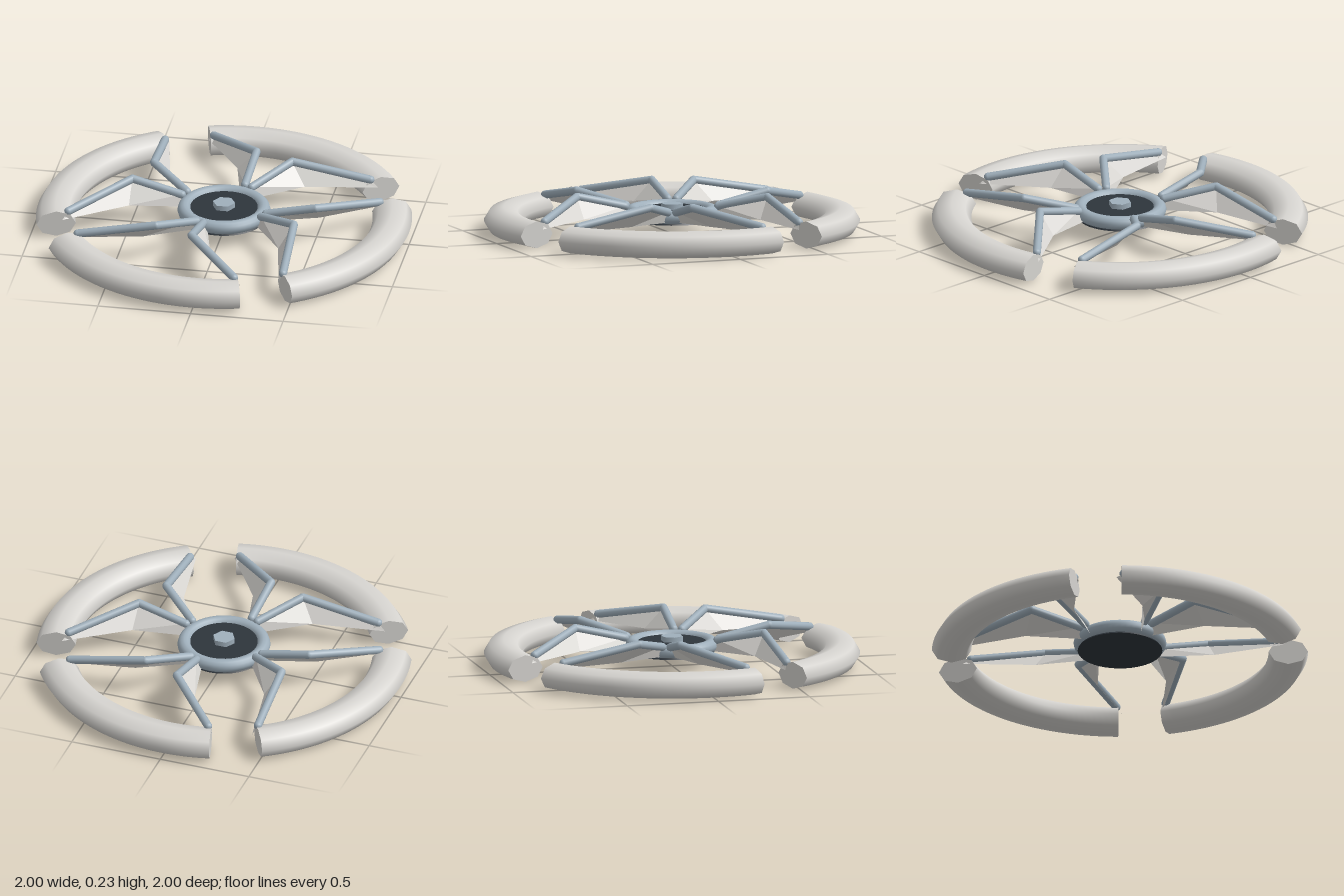
import * as THREE from 'three';

const shell = new THREE.MeshStandardMaterial({ color: 0xd6d4d0, side: THREE.DoubleSide });
shell.name = 'pale grey shell';
const metal = new THREE.MeshStandardMaterial({ color: 0x9fafbb });
metal.name = 'blue grey metal';
const dark = new THREE.MeshStandardMaterial({ color: 0x2e353c });
dark.name = 'dark slate';

const V = (x, y, z) => new THREE.Vector3(x, y, z);
const RAD = Math.PI / 180;

function add(parent, name, geometry, material) {
  const mesh = new THREE.Mesh(geometry, material);
  mesh.name = name;
  parent.add(mesh);
  return mesh;
}

// Octagonal arc of the outer rim, closed at both ends
function rimSegment(from, to) {
  const group = new THREE.Group();
  group.name = 'rimSegment';
  const profile = [];
  for (let i = 0; i <= 8; i++) {
    const a = (i / 4 - 0.5) * Math.PI;
    profile.push(new THREE.Vector2(0.895 + 0.105 * Math.cos(a), 0.0725 + 0.0725 * Math.sin(a)));
  }
  add(group, 'rimTube', new THREE.LatheGeometry(profile, 32, from, to - from), shell);
  for (const angle of [from, to]) {
    const cap = new THREE.ShapeGeometry(new THREE.Shape(profile.slice(0, 8)));
    add(group, 'rimEnd', cap.rotateY(angle - Math.PI / 2), shell);
  }
  return group;
}

// Bent round bar with rounded joints
function spoke(points, radius) {
  const group = new THREE.Group();
  group.name = 'spoke';
  points.forEach((p, i) => {
    add(group, 'spokeJoint', new THREE.SphereGeometry(radius, 12, 8), metal).position.copy(p);
    if (i === 0) return;
    const dir = p.clone().sub(points[i - 1]);
    const bar = add(group, 'spokeBar', new THREE.CylinderGeometry(radius, radius, dir.length(), 12, 1, true), metal);
    bar.position.copy(p).add(points[i - 1]).multiplyScalar(0.5);
    bar.quaternion.setFromUnitVectors(V(0, 1, 0), dir.normalize());
  });
  return group;
}

// Folded flat web hanging below a spoke
function fin(upper, lower) {
  const positions = [];
  for (let i = 0; i < upper.length - 1; i++) {
    const [a, b, c, d] = [upper[i], lower[i], lower[i + 1], upper[i + 1]];
    for (const p of [a, b, c, a, c, d]) positions.push(p.x, p.y, p.z);
  }
  const geometry = new THREE.BufferGeometry();
  geometry.setAttribute('position', new THREE.Float32BufferAttribute(positions, 3));
  geometry.computeVertexNormals();
  return geometry;
}

export function createModel() {
  const model = new THREE.Group();
  model.name = 'segmentedWheel';

  // Hub
  const hub = new THREE.Group();
  hub.name = 'hub';
  model.add(hub);
  add(hub, 'hubRing', new THREE.TorusGeometry(0.211, 0.036, 12, 48).rotateX(Math.PI / 2), metal).position.y = 0.118;
  add(hub, 'hubDisc', new THREE.CylinderGeometry(0.185, 0.225, 0.06, 48), dark).position.y = 0.105;
  const bolt = add(hub, 'hubBolt', new THREE.CylinderGeometry(0.06, 0.06, 0.03, 6), metal);
  bolt.rotation.y = Math.PI / 6;
  bolt.position.y = 0.148;

  // Two spokes with fins hold each rim segment
  const arms = [
    {
      bar: [V(-0.11, 0.15, 0.22), V(-0.29, 0.213, 0.43), V(-0.71, 0.135, 0.447)],
      low: [V(-0.1, 0.09, 0.19), V(-0.37, 0.105, 0.36), V(-0.755, 0.1, 0.43)],
    },
    {
      bar: [V(-0.07, 0.15, 0.24), V(-0.083, 0.213, 0.51), V(0.2, 0.135, 0.805)],
      low: [V(-0.05, 0.09, 0.21), V(0.02, 0.105, 0.51), V(0.24, 0.1, 0.83)],
    },
  ];

  for (let i = 0; i < 4; i++) {
    const quarter = new THREE.Group();
    quarter.name = 'wheelQuarter';
    quarter.rotation.y = i * Math.PI / 2;
    quarter.add(rimSegment(-58.5 * RAD, 15.2 * RAD));
    for (const { bar, low } of arms) {
      quarter.add(spoke(bar, 0.022));
      add(quarter, 'spokeFin', fin(bar, low), shell);
    }
    model.add(quarter);
  }
  return model;
}
